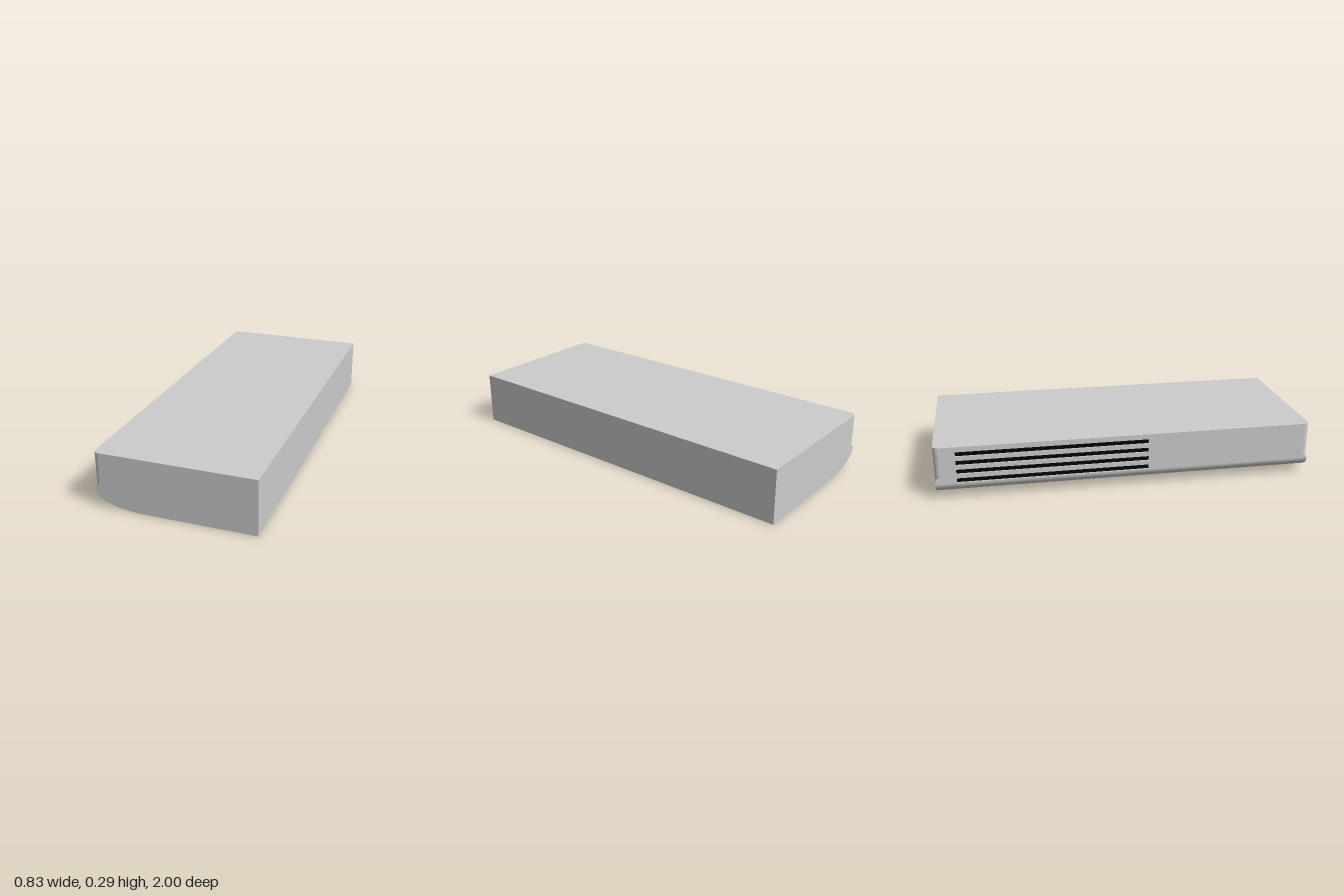
import * as THREE from 'three';

const W = 0.414, H = 0.29, L = 1;       // half width, height, half length
const R = 0.03;                         // radius of the rounded upright edges
const LIP = 0.09, NECK = 0.12;          // heights where the square lip turns into the rounded edge
const BEND = -0.16;                     // where the curved belly meets the flat underside

const grey = new THREE.MeshStandardMaterial({ color: 0xcccccc, side: THREE.DoubleSide });
const black = new THREE.MeshStandardMaterial({ color: 0x050505, side: THREE.DoubleSide });

function polygon(points) {
  return new THREE.Shape(points.map(([x, y]) => new THREE.Vector2(x, y)));
}
function rect(x0, y0, x1, y1) {
  return polygon([[x0, y0], [x1, y0], [x1, y1], [x0, y1]]);
}
function plate(shape, depth) {
  return new THREE.ExtrudeGeometry(shape, { depth, bevelEnabled: false, curveSegments: 10 });
}
// Lay a plate flat: shape x -> x, shape y -> z, its lower face at height y
function lay(geometry, depth, y) {
  return geometry.rotateX(Math.PI / 2).translate(0, y + depth, 0);
}
// Stand a plate upright on the -x side: shape x -> z, outer face at x
function stand(geometry, depth, x) {
  return geometry.rotateY(-Math.PI / 2).translate(x + depth, 0, 0);
}

export function createModel() {
  const model = new THREE.Group();
  const add = (name, geometry, material = grey) => {
    const mesh = new THREE.Mesh(geometry, material);
    mesh.name = name;
    model.add(mesh);
    return mesh;
  };

  // Quarter-ellipse belly profile, from lip to underside
  const belly = [];
  for (let i = 0; i <= 20; i++) {
    const a = (i / 20) * Math.PI / 2;
    belly.push([BEND - (W + BEND) * Math.cos(a), LIP * (1 - Math.sin(a))]);
  }

  // Top sheet with the two rounded corners
  const top = new THREE.Shape();
  top.moveTo(W, -L);
  top.lineTo(W, L);
  top.lineTo(-W + R, L);
  top.absarc(-W + R, L - R, R, Math.PI / 2, Math.PI, false);
  top.lineTo(-W, -L + R);
  top.absarc(-W + R, -L + R, R, Math.PI, Math.PI * 1.5, false);
  top.closePath();
  add('topSheet', new THREE.ShapeGeometry(top, 10).rotateX(Math.PI / 2).translate(0, H, 0));

  // Flat wall on the +x side
  add('flatWall', new THREE.PlaneGeometry(2 * L, H).rotateY(Math.PI / 2).translate(W, H / 2, 0));

  // End walls, rounded upright edges and the small slanted corner below each
  const endShape = polygon([...belly, [W, 0], [W, H], [-W + R, H], [-W + R, NECK]]);
  for (const s of [1, -1]) {
    const end = new THREE.ShapeGeometry(endShape);
    if (s < 0) end.rotateY(Math.PI).scale(-1, 1, 1);
    add('endWall', end.translate(0, 0, s * L));

    const start = s > 0 ? Math.PI * 1.5 : Math.PI;
    const edge = new THREE.CylinderGeometry(R, R, H - NECK, 10, 1, true, start, Math.PI / 2);
    add('roundedEdge', edge.translate(-W + R, (H + NECK) / 2, s * (L - R)));

    const fan = [];
    const arc = i => {
      const a = (i / 10) * Math.PI / 2;
      return [-W + R - R * Math.cos(a), NECK, s * (L - R + R * Math.sin(a))];
    };
    for (let i = 0; i < 10; i++) {
      const [p, q] = s > 0 ? [arc(i), arc(i + 1)] : [arc(i + 1), arc(i)];
      fan.push(-W, LIP, s * L, ...q, ...p);
    }
    const corner = new THREE.BufferGeometry();
    corner.setAttribute('position', new THREE.Float32BufferAttribute(fan, 3));
    corner.computeVertexNormals();
    add('cornerSlant', corner);
  }

  // Slotted wall on the -x side: four long slots toward the rear
  const wall = polygon([[-L, LIP], [L, LIP], [L - R, NECK], [L - R, H], [-L + R, H], [-L + R, NECK]]);
  for (let i = 0; i < 4; i++) {
    const y = 0.106 + i * 0.048;
    wall.holes.push(rect(-0.89, y - 0.012, 0.11, y + 0.012));
  }
  add('slottedWall', stand(plate(wall, 0.008), 0.008, -W));
  add('sideVentBacking', stand(plate(rect(-0.91, LIP, 0.13, 0.27), 0.004), 0.004, -W + 0.008), black);

  // Curved belly strip
  const pos = [], index = [];
  belly.forEach(([x, y], i) => {
    pos.push(x, y, -L, x, y, L);
    if (i) {
      const k = 2 * i;
      index.push(k - 2, k, k - 1, k, k + 1, k - 1);
    }
  });
  const strip = new THREE.BufferGeometry();
  strip.setAttribute('position', new THREE.Float32BufferAttribute(pos, 3));
  strip.setIndex(index);
  strip.computeVertexNormals();
  add('curvedBelly', strip);

  // Underside with two shallow recesses, each holding a slotted grille
  const under = rect(BEND, -L, W, L);
  const x0 = -0.09, x1 = 0.385, z0 = 0.03, z1 = 0.95, recess = 0.02;
  for (const s of [1, -1]) {
    const [a, b] = s > 0 ? [z0, z1] : [-z1, -z0];
    under.holes.push(rect(x0, a, x1, b));

    const grille = rect(x0 - 0.01, a - 0.01, x1 + 0.01, b + 0.01);
    const mid = s * 0.49;
    for (let i = 0; i < 10; i++) {
      const x = -0.05 + i * 0.037;
      grille.holes.push(rect(x - 0.009, mid - 0.38, x + 0.009, mid + 0.38));
    }
    add('bottomGrille', lay(plate(grille, 0.008), 0.008, recess));
    add('bottomVentBacking',
      lay(plate(rect(x0, a, x1, b), 0.004), 0.004, recess + 0.008), black);
  }
  add('underside', lay(plate(under, recess), recess, 0));

  return model;
}
